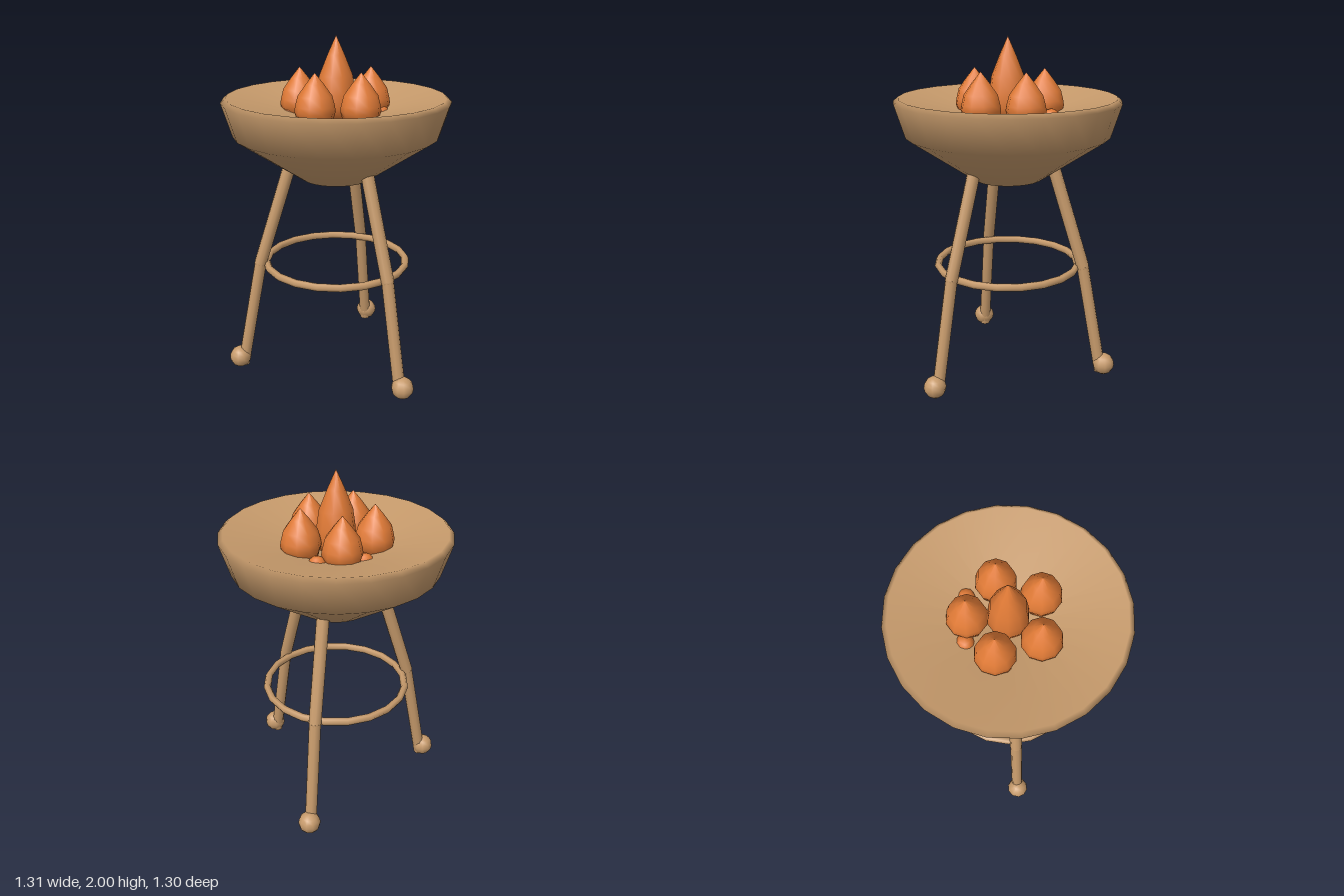
import * as THREE from 'three';

const wood = new THREE.MeshStandardMaterial({ color: 0xc69a6b });
wood.name = 'tan';
const fire = new THREE.MeshStandardMaterial({ color: 0xe07a36 });
fire.name = 'orange';

function add(parent, name, geometry, material, x = 0, y = 0, z = 0) {
  const mesh = new THREE.Mesh(geometry, material);
  mesh.name = name;
  mesh.position.set(x, y, z);
  parent.add(mesh);
  return mesh;
}

const lathe = (points, sides) =>
  new THREE.LatheGeometry(points.map(([r, y]) => new THREE.Vector2(r, y)), sides);

// Straight rod between two points
function rod(parent, name, a, b, radius) {
  const dir = b.clone().sub(a);
  const mesh = add(parent, name, new THREE.CylinderGeometry(radius, radius, dir.length(), 10), wood);
  mesh.position.copy(a).add(b).multiplyScalar(0.5);
  mesh.quaternion.setFromUnitVectors(new THREE.Vector3(0, 1, 0), dir.normalize());
}

// Bent leg pointing along +x, with a ball foot
function makeLeg() {
  const leg = new THREE.Group();
  leg.name = 'leg';
  const top = new THREE.Vector3(0.27, 1.27, 0);
  const knee = new THREE.Vector3(0.455, 0.68, 0);
  const toe = new THREE.Vector3(0.578, 0.019, 0);
  rod(leg, 'upperLeg', top, knee, 0.037);
  rod(leg, 'lowerLeg', knee, toe, 0.035);
  add(leg, 'knee', new THREE.SphereGeometry(0.036, 10, 8), wood, knee.x, knee.y, 0);
  add(leg, 'foot', new THREE.SphereGeometry(0.065, 10, 8), wood, 0.597, 0.066, 0);
  return leg;
}

// Teardrop flame, pointed at the top, standing on the bowl floor
function makeFlame(parent, name, height, x, z) {
  const base = 1.59;
  const h = height - base;
  const profile = [[0, base - 0.05], [0.095, base - 0.04], [0.113, base + 0.02],
    [0.108, base + 0.22 * h], [0.094, base + 0.46 * h], [0.048, base + 0.74 * h], [0, height]];
  add(parent, name, lathe(profile, 10), fire, x, 0, z);
}

export function createModel() {
  const model = new THREE.Group();
  model.name = 'brazier';
  const body = new THREE.Group();
  body.name = 'body';
  body.position.x = -0.007;
  model.add(body);

  // Bowl with chamfered rim and shallow dished top
  add(body, 'bowl', lathe([[0, 1.19], [0.2, 1.19], [0.588, 1.45], [0.648, 1.642],
    [0.62, 1.665], [0, 1.515]], 24), wood);

  // Three legs and the brace ring
  for (let i = 0; i < 3; i++) {
    const leg = makeLeg();
    leg.rotation.y = (i * Math.PI * 2) / 3;
    body.add(leg);
  }
  const ring = add(body, 'braceRing', new THREE.TorusGeometry(0.418, 0.022, 6, 20), wood, 0, 0.67, 0);
  ring.rotation.x = Math.PI / 2;

  // Tall middle flame with five around it
  makeFlame(body, 'middleFlame', 2, 0, 0);
  for (let i = 0; i < 5; i++) {
    const a = (i * Math.PI * 2) / 5;
    makeFlame(body, 'outerFlame', 1.82, 0.212 * Math.cos(a), 0.212 * Math.sin(a));
  }

  // Embers between the flames
  for (const [x, z] of [[-0.1, -0.24], [-0.25, -0.035], [-0.17, 0.19], [0.145, -0.21]]) {
    add(body, 'ember', new THREE.IcosahedronGeometry(0.05, 1), fire, x, 1.56, z);
  }
  return model;
}
